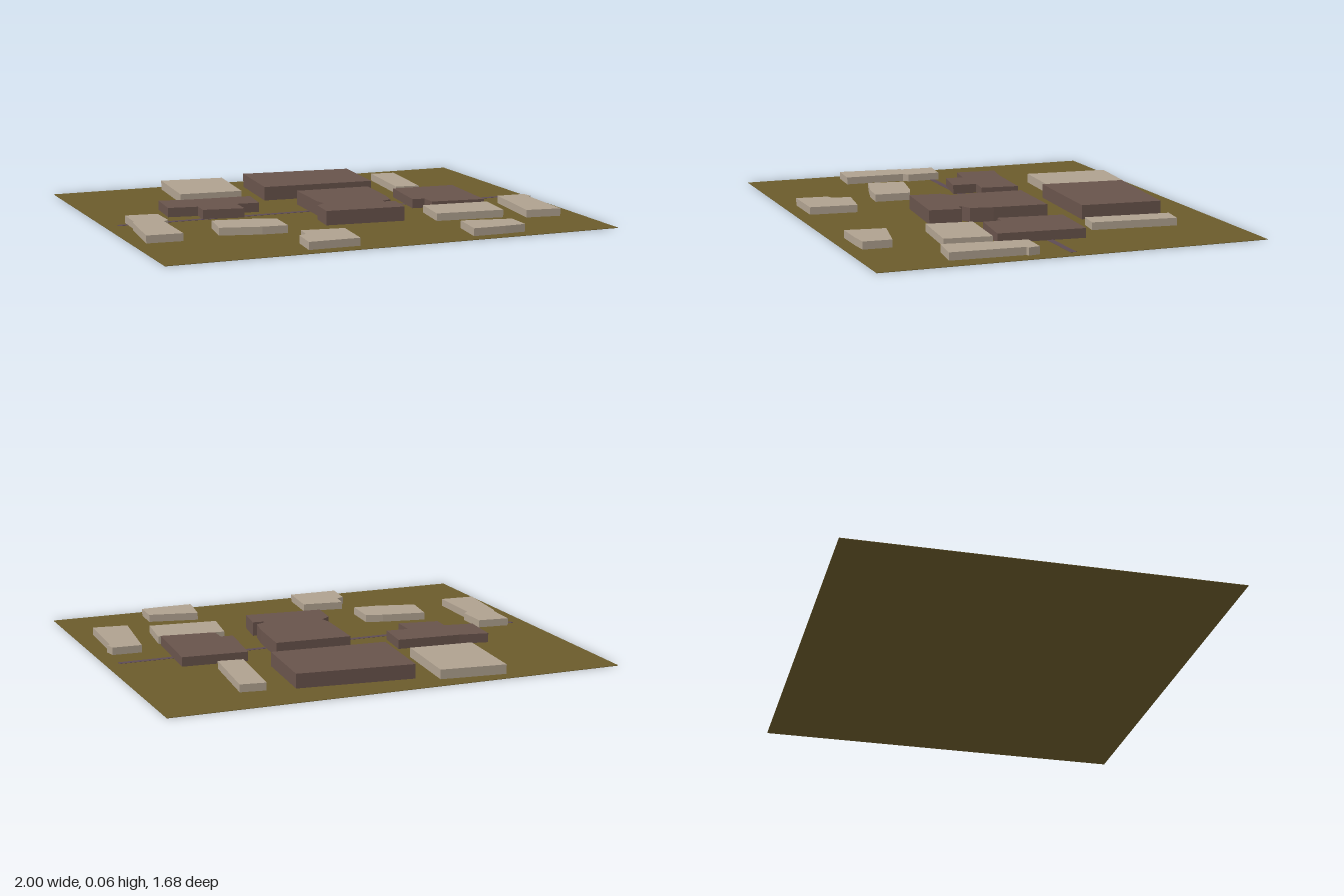
import * as THREE from 'three';

const material = (name, color) => {
  const m = new THREE.MeshStandardMaterial({ color });
  m.name = name;
  return m;
};

export function createModel() {
  const group = new THREE.Group();
  group.name = 'cityBlockMap';
  const olive = material('olive ground', 0x6b5b2b);
  const brown = material('brown building', 0x68534b);
  const tan = material('tan building', 0xafa18f);
  const purple = material('purple road', 0x5d4b55);

  const add = (name, geometry, mat, y) => {
    const mesh = new THREE.Mesh(geometry, mat);
    mesh.name = name;
    mesh.position.y = y;
    group.add(mesh);
  };

  // Extrude a ground outline of [x, z] corners straight up
  const building = (name, mat, height, outline) => {
    const shape = new THREE.Shape(outline.map(([x, z]) => new THREE.Vector2(x, -z)));
    const geometry = new THREE.ExtrudeGeometry(shape, { depth: height, bevelEnabled: false });
    geometry.rotateX(-Math.PI / 2);
    add(name, geometry, mat, 0.001);
  };

  // Ground sheet and the thin road across the middle
  add('ground', new THREE.BoxGeometry(2, 0.002, 1.68), olive, 0.001);
  add('road', new THREE.BoxGeometry(1.88, 0.002, 0.026), purple, 0.002);

  // Large brown buildings
  building('backHall', brown, 0.063, [[-0.12, -0.7], [0.39, -0.65], [0.36, -0.29], [-0.155, -0.32]]);
  building('centreHall', brown, 0.063, [
    [-0.055, -0.175], [0.285, -0.16], [0.265, 0.08], [0.245, 0.18], [0.2, 0.2], [0.2, 0.215],
    [0.25, 0.22], [0.23, 0.36], [-0.12, 0.33], [-0.105, 0.19], [-0.06, 0.155], [-0.07, 0.1],
  ]);
  building('rightHall', brown, 0.042, [
    [0.42, -0.175], [0.71, -0.155], [0.68, 0.225], [0.44, 0.195], [0.44, 0.115], [0.385, 0.11],
  ]);
  building('leftHall', brown, 0.042, [
    [-0.67, -0.285], [-0.54, -0.26], [-0.255, -0.24], [-0.275, -0.07], [-0.375, -0.08],
    [-0.38, 0.03], [-0.56, 0], [-0.555, -0.08], [-0.685, -0.1],
  ]);

  // Lower tan buildings
  building('backLeftBlock', tan, 0.042, [[-0.5, -0.78], [-0.21, -0.75], [-0.245, -0.38], [-0.53, -0.4]]);
  building('backRightBlock', tan, 0.034, [[0.51, -0.63], [0.62, -0.615], [0.58, -0.24], [0.47, -0.255]]);
  building('farLeftBlock', tan, 0.034, [
    [-0.895, -0.045], [-0.755, -0.03], [-0.755, 0.12], [-0.78, 0.14],
    [-0.785, 0.415], [-0.94, 0.405], [-0.91, 0.12], [-0.9, 0.1],
  ]);
  building('middleLeftBlock', tan, 0.034, [
    [-0.59, 0.2], [-0.395, 0.235], [-0.32, 0.26], [-0.33, 0.42], [-0.44, 0.41], [-0.615, 0.365],
  ]);
  building('frontLeftBlock', tan, 0.034, [
    [-0.32, 0.54], [-0.135, 0.565], [-0.155, 0.775], [-0.38, 0.775], [-0.365, 0.635], [-0.33, 0.62],
  ]);
  building('frontRightBlock', tan, 0.034, [
    [0.38, 0.6], [0.6, 0.645], [0.595, 0.77], [0.5, 0.775], [0.355, 0.775],
  ]);
  building('middleRightBlock', tan, 0.034, [[0.385, 0.22], [0.685, 0.245], [0.66, 0.45], [0.355, 0.42]]);
  building('farRightBlock', tan, 0.034, [
    [0.795, 0.135], [0.925, 0.14], [0.935, 0.19], [0.92, 0.195], [0.905, 0.515], [0.75, 0.495],
  ]);

  return group;
}
